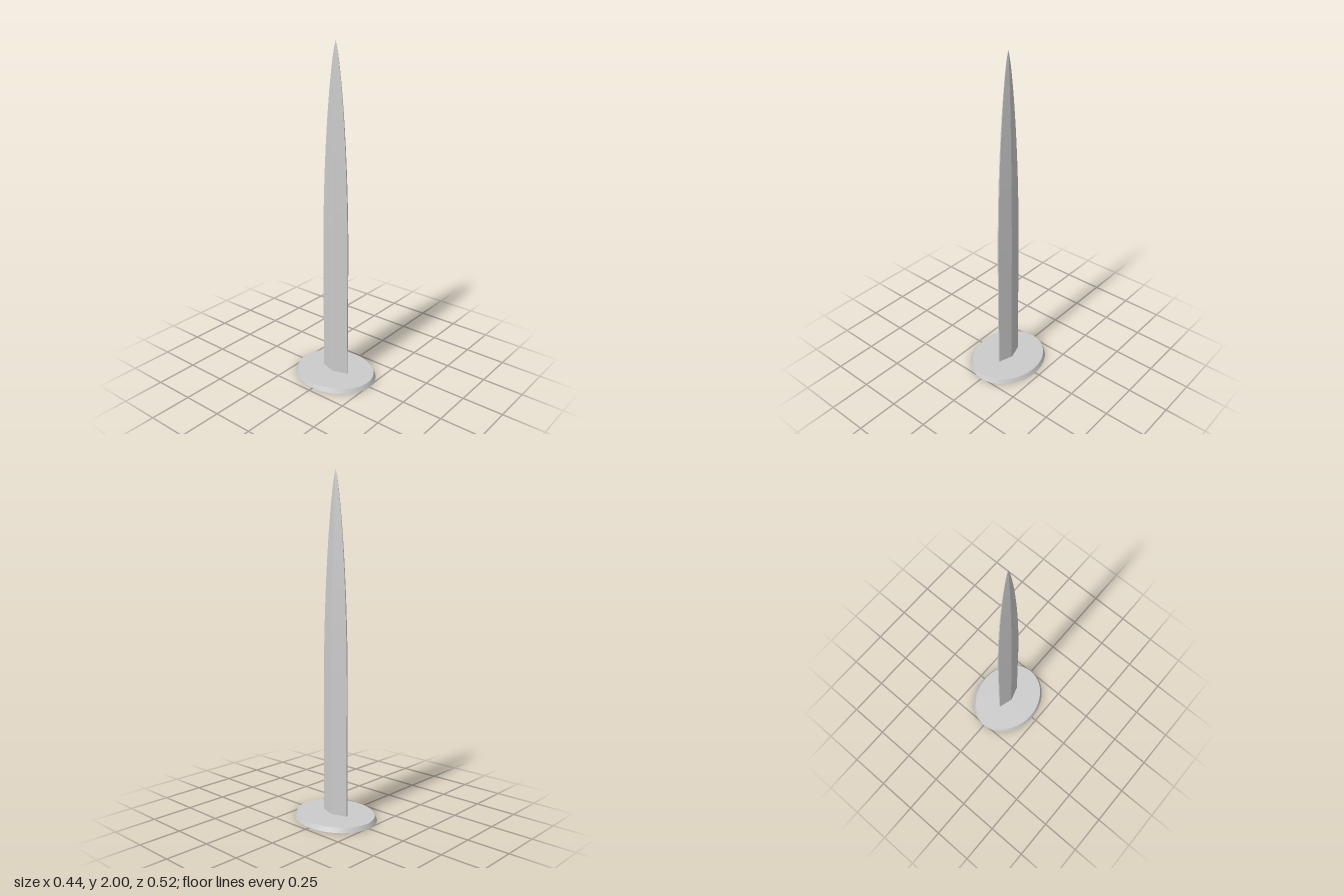
import * as THREE from 'three';

const BASE_HEIGHT = 0.027;
const BLADE_HEIGHT = 2;
const TAPER_START = 0.72;

// Width factor of the blade at height y: straight, then curving in to a point
function taper(y) {
  const t = Math.max(0, (y - TAPER_START) / (BLADE_HEIGHT - TAPER_START));
  return Math.pow(Math.max(0, 1 - t * t), 0.75);
}

// Thin diamond section with slightly blunted corners, swept upwards
function bladeGeometry() {
  const geometry = new THREE.CylinderGeometry(1, 1, BLADE_HEIGHT, 8, 64, false, Math.PI / 8);
  geometry.translate(0, BLADE_HEIGHT / 2, 0);
  const p = geometry.attributes.position;
  for (let i = 0; i < p.count; i++) {
    const x = p.getX(i), y = p.getY(i), z = p.getZ(i);
    if (Math.hypot(x, z) < 0.1) continue; // cap centres stay on the axis
    const [hx, hz] = Math.abs(x) > 0.6 ? [0.031, 0.005] : [0.004, 0.09];
    const s = taper(y);
    p.setXYZ(i, Math.sign(x) * hx * s, y, Math.sign(z) * hz * s);
  }
  geometry.computeVertexNormals();
  return geometry;
}

export function createModel() {
  const group = new THREE.Group();
  group.name = 'bladeOnStand';

  // Oval foot with a sloping rim
  const baseGeometry = new THREE.CylinderGeometry(1, 1, BASE_HEIGHT, 96);
  const p = baseGeometry.attributes.position;
  for (let i = 0; i < p.count; i++) {
    const top = p.getY(i) > 0;
    p.setX(i, p.getX(i) * (top ? 0.207 : 0.219));
    p.setZ(i, p.getZ(i) * (top ? 0.246 : 0.258));
  }
  baseGeometry.translate(0, BASE_HEIGHT / 2, 0);
  baseGeometry.computeVertexNormals();
  const base = new THREE.Mesh(baseGeometry, new THREE.MeshStandardMaterial({ color: 0xcccccc }));
  base.name = 'base';
  group.add(base);

  // Upright blade, passing through the foot
  const blade = new THREE.Mesh(
    bladeGeometry(),
    new THREE.MeshStandardMaterial({ color: 0xcccccc, flatShading: true })
  );
  blade.name = 'blade';
  group.add(blade);

  return group;
}
